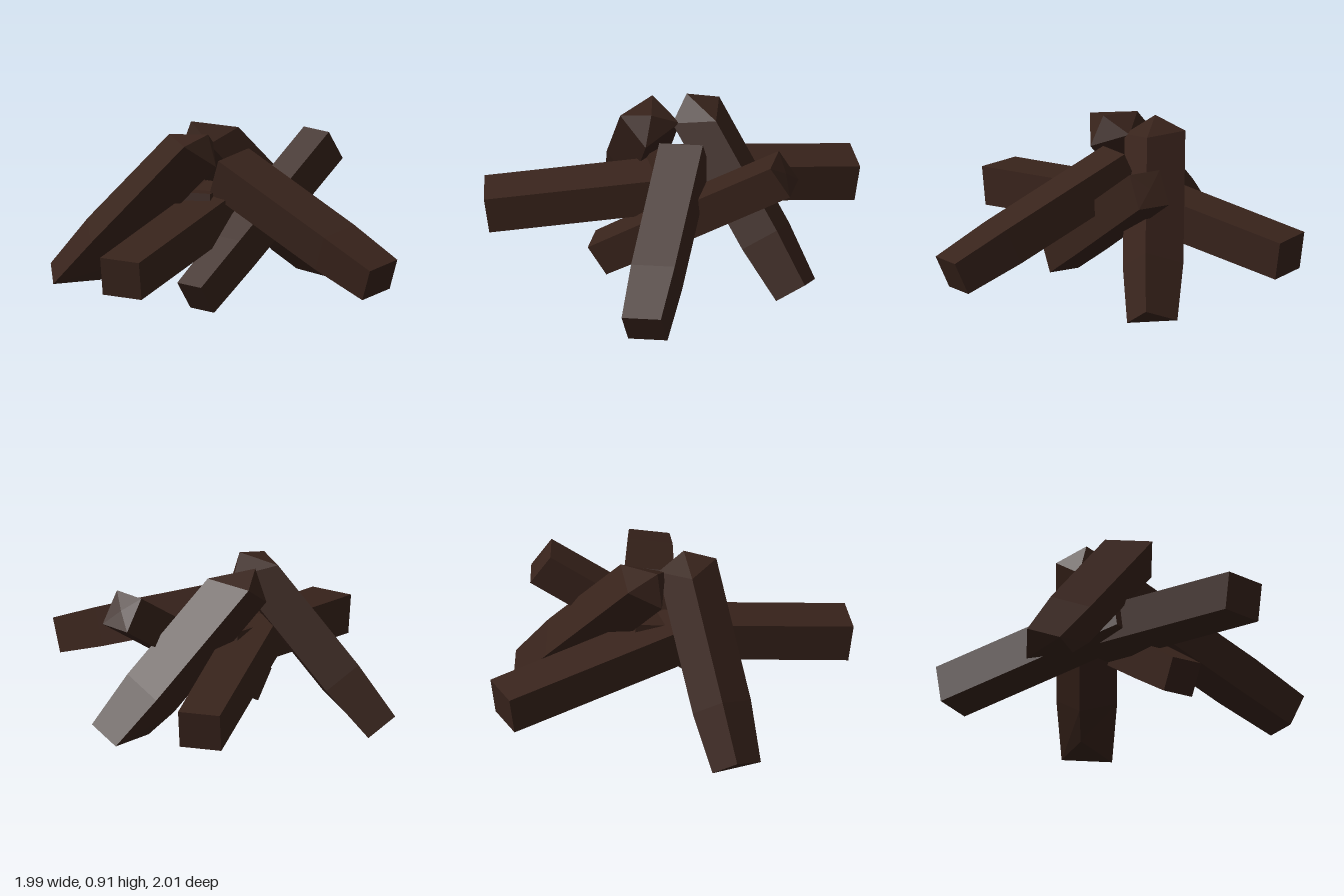
import * as THREE from 'three';

const material = new THREE.MeshStandardMaterial({ color: 0x38231b, flatShading: true });

// A rough four-sided log running from `start` to `end`.
// side: direction of the cross-section's width; w, h: its size
// taper: scale of the start; startCut / endCut: how far one corner is hewn back; tip: length of the pointed end
function makeLog({ name, start, end, side, w, h, taper = 1, startCut = 0, endCut = 0, tip = 0 }) {
  const p0 = new THREE.Vector3(...start);
  const p1 = new THREE.Vector3(...end);
  const d = p1.clone().sub(p0).normalize();
  const u = new THREE.Vector3(...side);
  u.addScaledVector(d, -u.dot(d)).normalize();
  const v = new THREE.Vector3().crossVectors(d, u);
  const corners = [[-1, -1], [1, -1], [1, 1], [-1, 1]];

  // Cross-sections: hewn start, full body, hewn end
  const rings = [[0, taper], [0.3, 1], [1, 1]].map(([t, s], r) =>
    corners.map(([a, b], i) => {
      const p = p0.clone().lerp(p1, t)
        .addScaledVector(u, a * s * w / 2)
        .addScaledVector(v, b * s * h / 2);
      if (r === 0 && i === 2) p.addScaledVector(d, startCut);
      if (r === 2 && i === 0) p.addScaledVector(d, -endCut);
      return p;
    }));

  const pos = [];
  const tri = (...pts) => pts.forEach((p) => pos.push(p.x, p.y, p.z));
  const apex = p1.clone().addScaledVector(d, tip);
  for (let i = 0; i < 4; i++) {
    const j = (i + 1) % 4;
    for (let r = 0; r < 2; r++) {
      tri(rings[r][i], rings[r][j], rings[r + 1][j]);
      tri(rings[r][i], rings[r + 1][j], rings[r + 1][i]);
    }
    tri(p0, rings[0][j], rings[0][i]);
    tri(apex, rings[2][i], rings[2][j]);
  }
  const geometry = new THREE.BufferGeometry();
  geometry.setAttribute('position', new THREE.Float32BufferAttribute(pos, 3));
  geometry.computeVertexNormals();
  const mesh = new THREE.Mesh(geometry, material);
  mesh.name = name;
  return mesh;
}

export function createModel() {
  const group = new THREE.Group();
  group.name = 'logPile';
  const logs = [
    // Two low logs lying front and back
    { name: 'backLog', start: [-0.215, 0.325, -0.985], end: [-0.21, 0.49, 0.13], side: [1, 0, 0], w: 0.23, h: 0.21 },
    { name: 'frontLog', start: [-0.355, 0.325, 0.97], end: [-0.07, 0.49, -0.17], side: [-1, 0, -0.25], w: 0.235, h: 0.21 },
    // Two tall leaning logs meeting at the top
    { name: 'rightLeaningLog', start: [-0.905, 0.045, 0.06], end: [-0.155, 0.865, 0.13], side: [0.06, -0.07, 0.17],
      w: 0.23, h: 0.22, taper: 0.83, startCut: 0.17, endCut: 0.1, tip: 0.08 },
    { name: 'backLeaningLog', start: [0.41, 0.045, -0.53], end: [-0.2, 0.855, -0.13], side: [-0.16, -0.07, -0.09],
      w: 0.24, h: 0.22, taper: 0.83, startCut: 0.15, endCut: 0.1, tip: 0.1 },
    // Two logs crossing in front
    { name: 'leftLog', start: [0.915, 0.265, 0.41], end: [-0.03, 0.69, -0.03], side: [-0.07, -0.04, 0.22],
      w: 0.24, h: 0.21, taper: 0.9, tip: 0.02 },
    { name: 'crossingLog', start: [-0.095, 0.1, 0.41], end: [0.365, 0.76, -0.48], side: [0.88, 0, 0.47],
      w: 0.18, h: 0.195, taper: 0.95, tip: 0.01 },
  ];
  logs.forEach((spec) => group.add(makeLog(spec)));
  return group;
}
